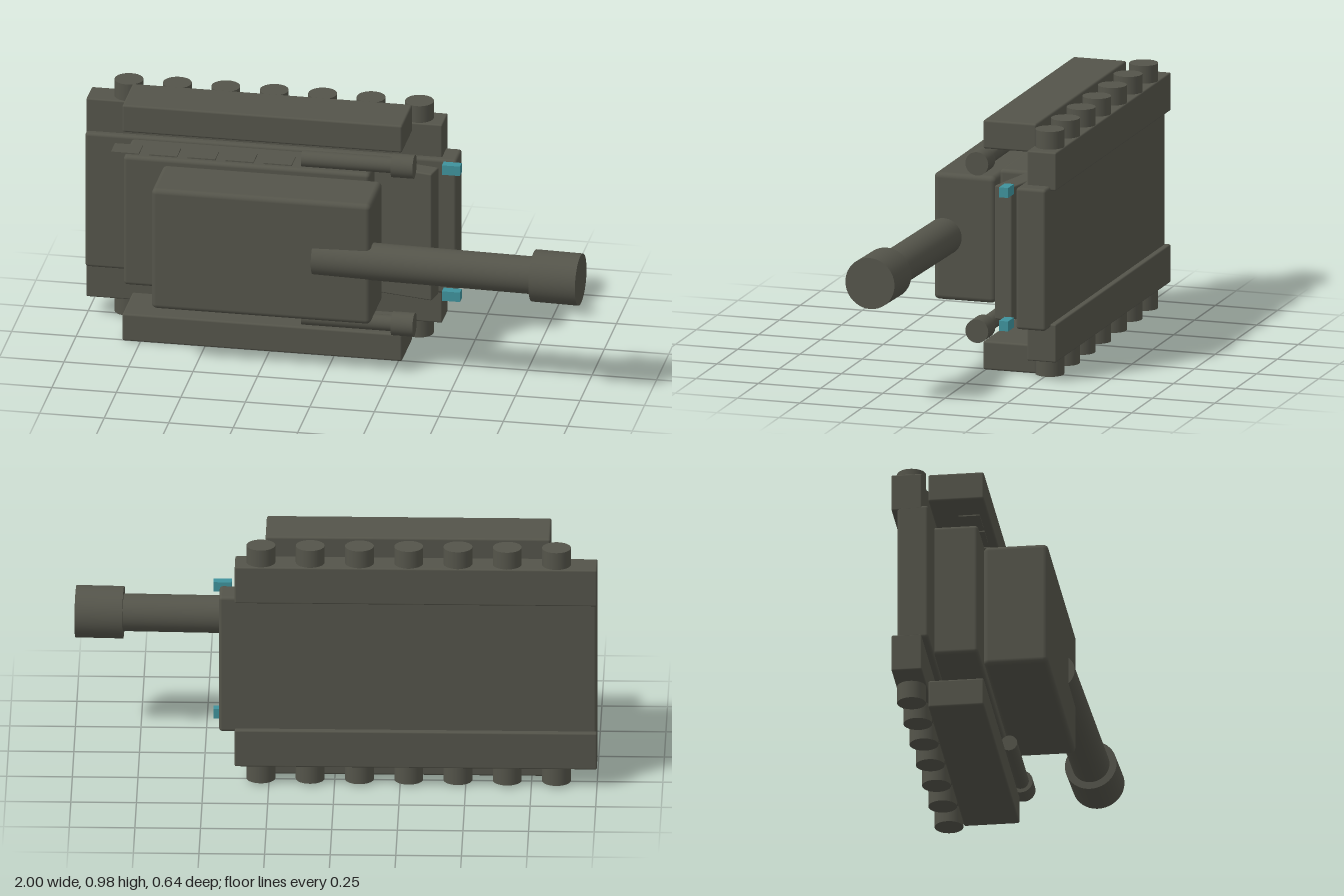
import * as THREE from 'three';
import { RoundedBoxGeometry } from 'three/addons/geometries/RoundedBoxGeometry.js';

export function createModel() {
  const model = new THREE.Group();
  model.name = 'tankOnItsSide';
  const armour = new THREE.MeshStandardMaterial({ color: 0x54544a });
  armour.name = 'olive grey armour';
  const lamp = new THREE.MeshStandardMaterial({ color: 0x3f929c });
  lamp.name = 'teal lamp';

  const add = (name, geometry, material = armour) => {
    const mesh = new THREE.Mesh(geometry, material);
    mesh.name = name;
    model.add(mesh);
    return mesh;
  };
  // Box from its extents; r > 0 rounds the edges
  const box = (name, [x0, x1], [y0, y1], [z0, z1], r = 0, material = armour) => {
    const size = [x1 - x0, y1 - y0, z1 - z0];
    const geometry = r ? new RoundedBoxGeometry(...size, 3, r) : new THREE.BoxGeometry(...size);
    const mesh = add(name, geometry, material);
    mesh.position.set((x0 + x1) / 2, (y0 + y1) / 2, (z0 + z1) / 2);
    return mesh;
  };
  // Cylinder between two points
  const rod = (name, from, to, radius) => {
    const a = new THREE.Vector3(...from), b = new THREE.Vector3(...to);
    const mesh = add(name, new THREE.CylinderGeometry(radius, radius, a.distanceTo(b), 40));
    mesh.position.copy(a).add(b).multiplyScalar(0.5);
    mesh.quaternion.setFromUnitVectors(new THREE.Vector3(0, 1, 0), b.sub(a).normalize());
    return mesh;
  };

  // Hull: the roof faces +z, the nose faces +x
  const midY = 0.492;
  box('lowerHull', [-1, 0.44], [0.215, 0.77], [-0.3, -0.18], 0.012);
  box('upperHull', [-0.82, 0.135], [0.225, 0.76], [-0.19, -0.012], 0.015);

  // Tilted nose plate
  const nose = add('nosePlate', new RoundedBoxGeometry(0.34, 0.525, 0.075, 3, 0.006));
  nose.position.set(0.205, midY, -0.14);
  nose.rotation.y = -0.2;

  // Turret, gun and muzzle, the gun slightly raised
  box('turret', [-0.665, 0.185], [0.243, 0.74], [-0.012, 0.236], 0.02);
  rod('gunBarrel', [-0.04, midY, 0.188], [0.83, midY, 0.213], 0.072);
  rod('muzzle', [0.815, midY, 0.212], [0.997, midY, 0.219], 0.1);

  // Parts mirrored to both sides; s points outward along y
  for (const s of [-1, 1]) {
    const span = (inner, outer) => s > 0
      ? [midY + inner, midY + outer] : [midY - outer, midY - inner];
    box('track', [-1, 0.38], span(0.262, 0.411), [-0.322, -0.205], 0.006);
    box('sideSkirt', [-0.82, 0.265], span(0.377, 0.489), [-0.204, 0.01], 0.008);

    // Seven road wheels
    for (let i = 0; i < 7; i++) {
      const x = -0.845 + i * 0.1877;
      rod('roadWheel', [x, midY + s * 0.36, -0.264], [x, midY + s * 0.48, -0.264], 0.055);
    }

    // Small side gun with its muzzle
    const y = midY + s * 0.328;
    rod('sideGunBarrel', [-0.12, y, 0.018], [0.24, y, 0.018], 0.031);
    rod('sideGunMuzzle', [0.23, y, 0.018], [0.315, y, 0.018], 0.046);

    box('headlamp', [0.395, 0.465], span(0.242, 0.281), [-0.158, -0.121], 0, lamp);
  }

  // Row of thin armour tiles along one side
  for (let i = 0; i < 5; i++) {
    const x = -0.865 + i * 0.148;
    box('armourTile', [x, x + 0.108], [0.776, 0.781], [-0.082, 0]);
  }
  return model;
}
